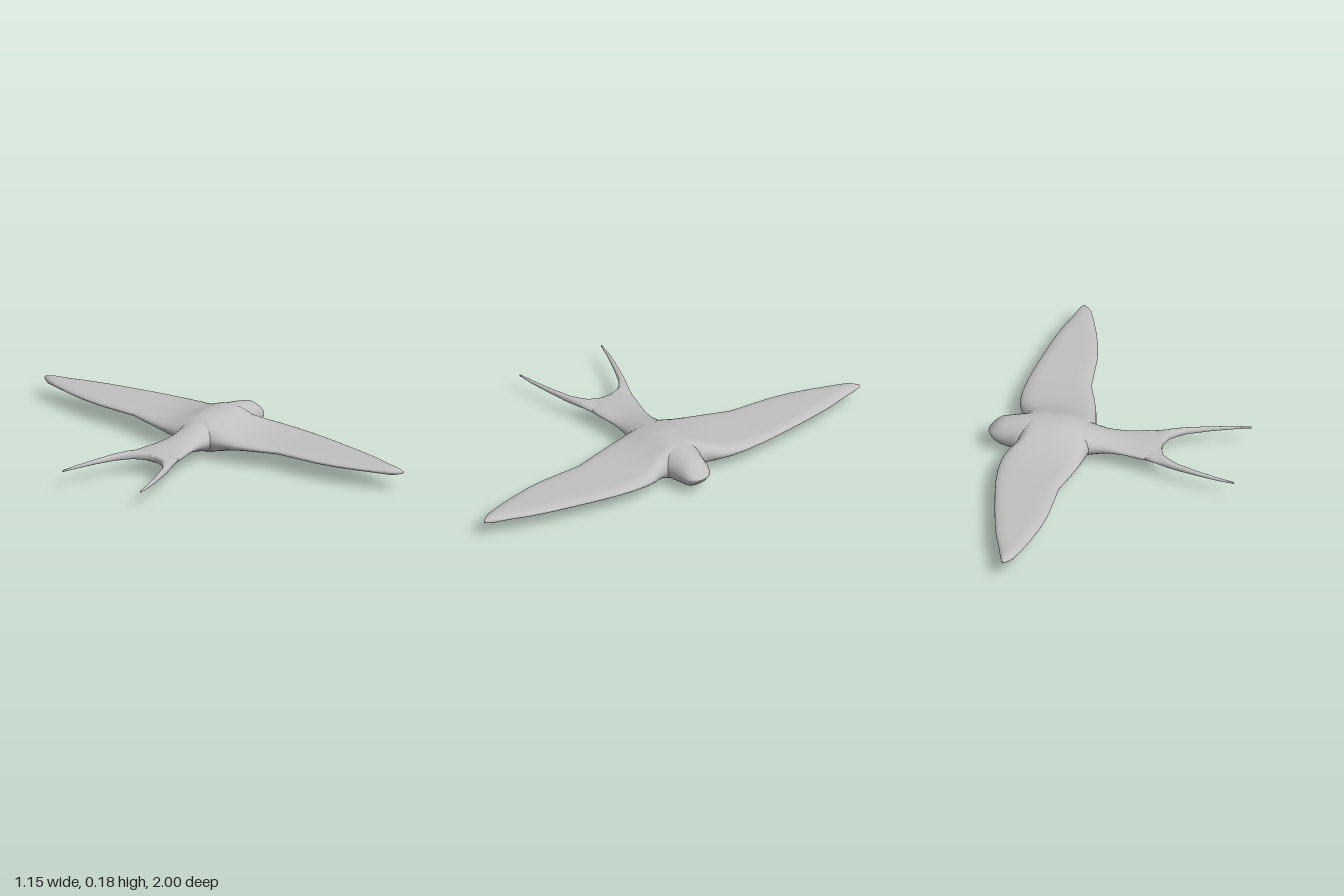
import * as THREE from 'three';

const MID = 0.09; // height of the flat middle plane

// Linear lookup in rows of [key, value, value...]
function lookup(rows, k, col = 1) {
  if (k <= rows[0][0]) return rows[0][col];
  for (let i = 1; i < rows.length; i++) {
    const a = rows[i - 1], b = rows[i];
    if (k <= b[0]) return a[col] + (b[col] - a[col]) * (k - a[0]) / (b[0] - a[0]);
  }
  return rows[rows.length - 1][col];
}

// Skin closed rings of [x, y, z] points, with fan caps at both ends
function loft(rings) {
  const n = rings[0].length, m = rings.length;
  const pos = rings.flat(), idx = [];
  for (let i = 0; i < m - 1; i++) {
    for (let j = 0; j < n; j++) {
      const a = i * n + j, b = i * n + (j + 1) % n;
      idx.push(a, b, a + n, b, b + n, a + n);
    }
  }
  for (const [r, flip] of [[0, true], [m - 1, false]]) {
    const c = pos.length;
    pos.push([0, 1, 2].map(k => rings[r].reduce((s, p) => s + p[k], 0) / n));
    for (let j = 0; j < n; j++) {
      const a = r * n + j, b = r * n + (j + 1) % n;
      idx.push(c, flip ? b : a, flip ? a : b);
    }
  }
  // Turn the faces outward if the enclosed volume is negative
  const v = pos.map(p => new THREE.Vector3(...p));
  let vol = 0;
  for (let i = 0; i < idx.length; i += 3) {
    vol += v[idx[i]].dot(v[idx[i + 1]].clone().cross(v[idx[i + 2]]));
  }
  if (vol < 0) idx.reverse();
  const g = new THREE.BufferGeometry();
  g.setAttribute('position', new THREE.Float32BufferAttribute(pos.flat(), 3));
  g.setIndex(idx);
  g.computeVertexNormals();
  return g;
}

// Rounded section across z at a given x; a smaller power is boxier
function section(x, z0, z1, h, power = 1, n = 28) {
  return Array.from({ length: n }, (_, i) => {
    const a = i / n * Math.PI * 2, c = Math.cos(a), s = Math.sin(a);
    const sp = t => Math.sign(t) * Math.abs(t) ** power;
    return [x, MID + h * sp(s), (z0 + z1) / 2 + (z1 - z0) / 2 * sp(c)];
  });
}

// Body: x, half height, half width
const BODY = [
  [-0.21, 0.012, 0.09], [-0.2, 0.019, 0.115], [-0.12, 0.02, 0.105], [-0.06, 0.023, 0.093],
  [0, 0.032, 0.083], [0.05, 0.042, 0.08], [0.1, 0.055, 0.088], [0.15, 0.069, 0.1],
  [0.2, 0.08, 0.105], [0.25, 0.088, 0.105], [0.35, 0.088, 0.105], [0.4, 0.083, 0.098],
  [0.45, 0.075, 0.083], [0.49, 0.067, 0.074], [0.52, 0.059, 0.069], [0.545, 0.04, 0.06],
  [0.562, 0.02, 0.045], [0.575, 0.004, 0.02],
];

// Wing outline: |z|, trailing x, leading x
const WING = [
  [0, 0.1, 0.43], [0.1, 0.108, 0.43], [0.13, 0.113, 0.442], [0.17, 0.12, 0.463],
  [0.22, 0.13, 0.477], [0.3, 0.152, 0.481], [0.4, 0.184, 0.473], [0.5, 0.189, 0.458],
  [0.6, 0.194, 0.44], [0.7, 0.209, 0.421], [0.8, 0.234, 0.398], [0.9, 0.265, 0.366],
  [0.97, 0.292, 0.346], [1, 0.32, 0.335],
];

// How far the body's bulge carries out along the wing
const BULGE = [[0, 1], [0.04, 0.97], [0.07, 0.84], [0.1, 0.65], [0.15, 0.4],
  [0.2, 0.22], [0.25, 0.11], [0.3, 0.05], [0.38, 0]];

// Tail fork: x, inner z, outer z, half thickness
const FORK = [
  [-0.15, -0.02, 0.109, 0.017], [-0.2, -0.015, 0.124, 0.018], [-0.213, 0.025, 0.128, 0.018],
  [-0.228, 0.07, 0.133, 0.018], [-0.26, 0.1, 0.143, 0.017], [-0.3, 0.127, 0.157, 0.015],
  [-0.4, 0.164, 0.185, 0.01], [-0.5, 0.195, 0.209, 0.007], [-0.575, 0.214, 0.22, 0.004],
];

function wingRing(z) {
  const d = Math.abs(z), N = 20;
  const trail = lookup(WING, d, 1), lead = lookup(WING, d, 2);
  const flat = 0.018 * Math.min(1, 0.3 + (1 - d) / 0.06);
  const top = [], under = [];
  for (let i = 0; i <= N; i++) {
    // Samples gather near both edges, where the thickness falls away
    const u = (1 - Math.cos(i / N * Math.PI)) / 2;
    const x = trail + (lead - trail) * u;
    const s = Math.min(1, Math.min(x - trail, lead - x) / Math.min(0.055, (lead - trail) / 2));
    const full = flat + Math.max(0, lookup(BODY, x) - flat) * lookup(BULGE, d);
    const h = full * Math.sqrt(Math.max(0, 1 - (1 - s) ** 2));
    top.push([x, MID + h, z]);
    if (i > 0 && i < N) under.unshift([x, MID - h, z]);
  }
  return [...top, ...under];
}

export function createModel() {
  const model = new THREE.Group();
  model.name = 'flyingBird';
  const grey = new THREE.MeshStandardMaterial({ color: 0xc0c0c0 });
  grey.name = 'plain grey';

  const add = (name, geometry) => {
    const mesh = new THREE.Mesh(geometry, grey);
    mesh.name = name;
    model.add(mesh);
  };

  // Body and head, flattening toward the tail
  add('body', loft(BODY.map(([x, h, w]) => section(x, -w, w, h, x < -0.1 ? 0.75 : 1))));

  // Both wings in one span, blending into the back and belly
  const rows = 100;
  add('wings', loft(Array.from({ length: rows + 1 }, (_, i) => wingRing(i / rows * 2 - 1))));

  // Forked tail
  for (const side of [1, -1]) {
    add(side > 0 ? 'leftTailFork' : 'rightTailFork',
      loft(FORK.map(([x, a, b, h]) => section(x, a * side, b * side, h, 0.85, 16))));
  }
  return model;
}
